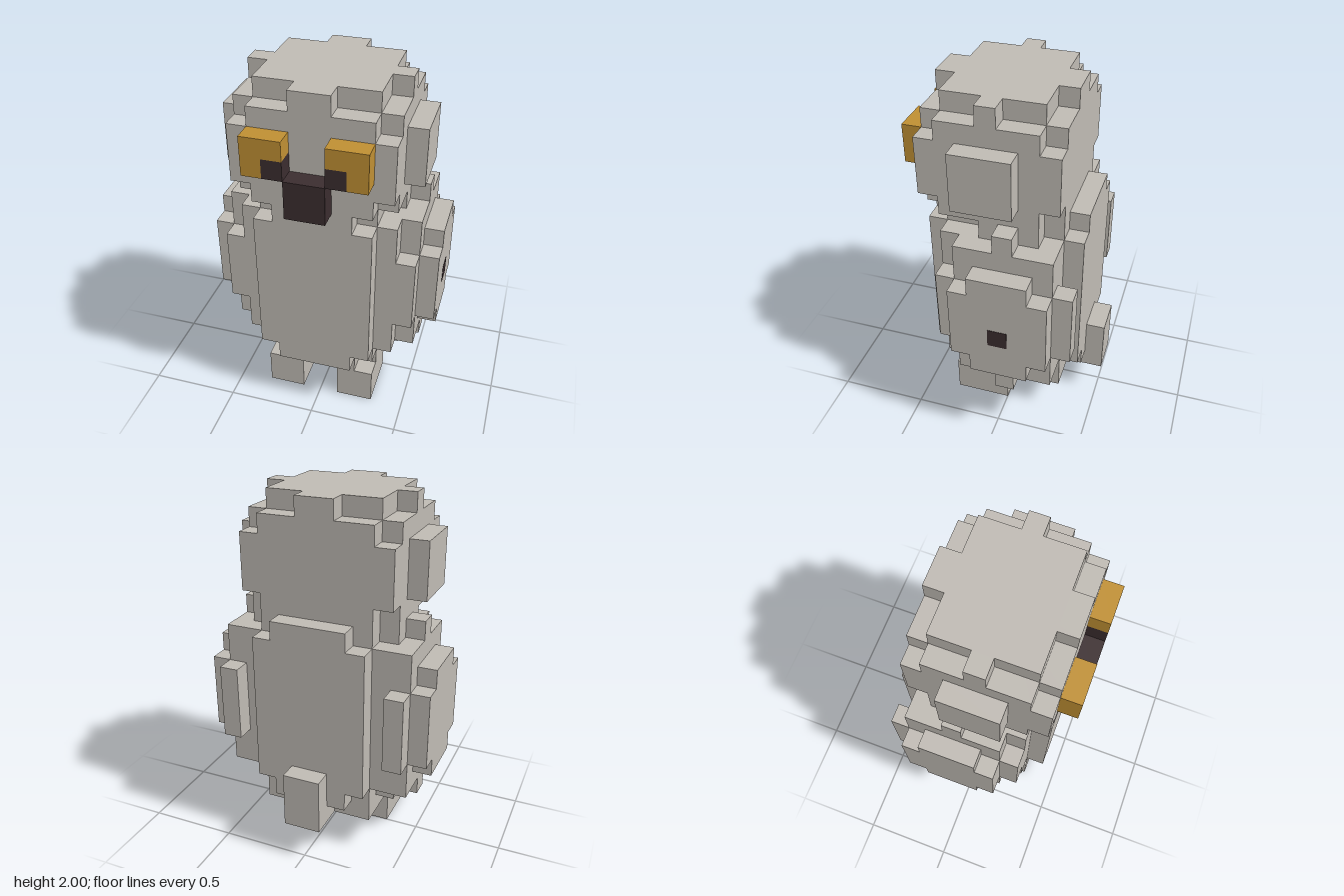
import * as THREE from 'three';

const U = 2 / 19; // size of one block

function material(name, color) {
  const m = new THREE.MeshStandardMaterial({ color });
  m.name = name;
  return m;
}

export function createModel() {
  const model = new THREE.Group();
  model.name = 'blockBird';
  const grey = material('warmGrey', 0xbfbab3);
  const amber = material('amber', 0xbf8f33);
  const dark = material('darkBrown', 0x3b2d2f);

  // Box from min and max corners, in block units
  function box(parent, name, mat, x0, x1, y0, y1, z0, z1) {
    const geo = new THREE.BoxGeometry((x1 - x0) * U, (y1 - y0) * U, (z1 - z0) * U);
    const mesh = new THREE.Mesh(geo, mat);
    mesh.name = name;
    mesh.position.set((x0 + x1) / 2 * U, (y0 + y1) / 2 * U, (z0 + z1) / 2 * U);
    parent.add(mesh);
  }
  function group(name) {
    const g = new THREE.Group();
    g.name = name;
    model.add(g);
    return g;
  }
  // Stepped layers: each row is [half width, y0, y1, z0, z1]
  function layers(name, rows) {
    const g = group(name);
    for (const [w, ...r] of rows) box(g, name + 'Layer', grey, -w, w, ...r);
  }
  // Box mirrored to the other side
  function pair(parent, name, mat, x0, x1, ...r) {
    box(parent, name + 'Left', mat, x0, x1, ...r);
    box(parent, name + 'Right', mat, -x1, -x0, ...r);
  }

  layers('body', [
    [5, 4, 12, -3, 2],
    [4, 4, 12, -3, 3],
    [3, 4, 12, -4, 4],
    // stepped shoulders and underside
    [2, 3, 13, -4, 4],
    [3, 3, 13, -3, 3],
    [4, 3, 13, -2, 1],
    [5, 3, 13, -1, 0],
    // base above the feet
    [3, 2, 3, -3, 2],
    [2, 2, 3, -3, 3],
  ]);

  layers('head', [
    [4, 14, 17, -3, 4],
    [4, 13, 18, -2, 3],
    [3, 13, 18, -3, 4],
    // crown
    [3, 18, 19, -2, 3],
    [1, 18, 19, -3, 4],
    [4, 18, 19, 0, 1],
  ]);

  // Side tufts on the head
  pair(group('ears'), 'ear', grey, 4, 5, 14, 17, -1, 2);

  // Wings, stepped at the edges
  const wings = group('wings');
  pair(wings, 'wingRoot', grey, 4, 5, 6, 10, -4, 3);
  pair(wings, 'wingPanel', grey, 5, 6, 6, 10, -3, 2);
  pair(wings, 'wingCentre', grey, 5, 6, 5, 11, -2, 1);
  box(wings, 'wingSpot', dark, 5.98, 6.02, 7, 8, -1, 0);

  // Feet and tail
  pair(group('feet'), 'foot', grey, 1, 3, 0, 2, 0, 3);
  box(model, 'tail', grey, -1, 1, 2, 5, -5, -3);

  // Face
  const face = group('face');
  pair(face, 'eyeTop', amber, 1, 3, 16, 17, 4, 5);
  pair(face, 'eyeOuter', amber, 2, 3, 15, 16, 4, 5);
  pair(face, 'pupil', dark, 1, 2, 15, 16, 4, 5);
  box(face, 'beak', dark, -1, 1, 13, 15, 4, 5);

  return model;
}
